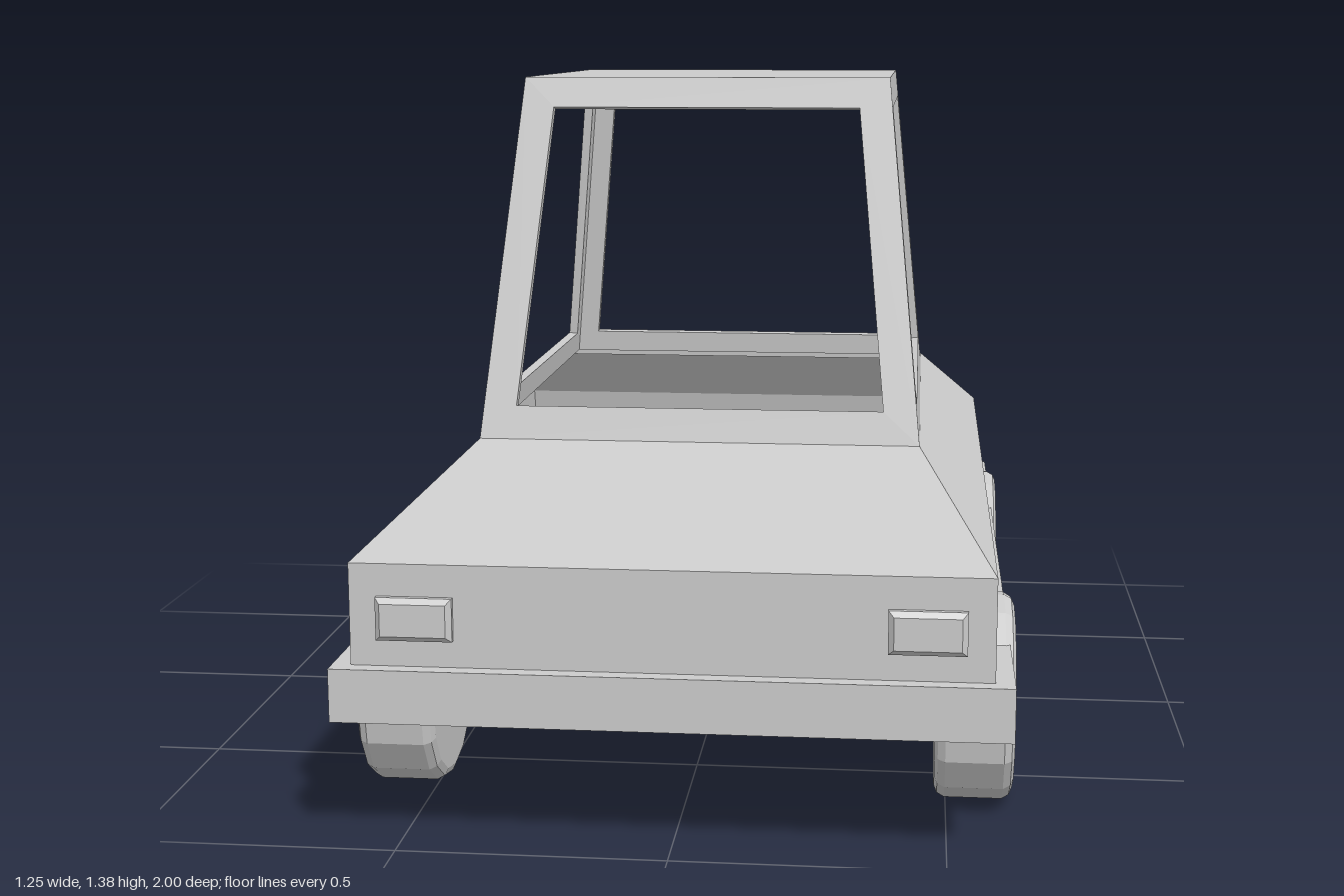
import * as THREE from 'three';

const material = new THREE.MeshStandardMaterial({ color: 0xcccccc, flatShading: true, side: THREE.DoubleSide });

// Rectangular section at height y, corners in counter-clockwise order from above
const ring = (x, front, back, y) =>
  [[x, front], [x, back], [-x, back], [-x, front]].map(([px, pz]) => new THREE.Vector3(px, y, pz));

// Flat-shaded geometry from a list of four-cornered faces
function fromQuads(quads) {
  const points = quads.flatMap(([a, b, c, d]) => [a, b, c, a, c, d]);
  const geometry = new THREE.BufferGeometry().setFromPoints(points);
  geometry.computeVertexNormals();
  return geometry;
}

// Side faces joining a stack of rings
function loft(rings) {
  const quads = [];
  for (let r = 0; r < rings.length - 1; r++) {
    for (let i = 0; i < 4; i++) {
      const j = (i + 1) % 4;
      quads.push([rings[r][i], rings[r][j], rings[r + 1][j], rings[r + 1][i]]);
    }
  }
  return quads;
}

// Wall with a window opening and a little inward thickness
function windowFrame(a, b, c, d, margin, v0, v1, depth) {
  const outer = [a, b, c, d];
  const at = (v, fromEnd) => {
    const p = a.clone().lerp(d, v), q = b.clone().lerp(c, v);
    const t = margin / p.distanceTo(q);
    return p.lerp(q, fromEnd ? 1 - t : t);
  };
  const hole = [at(v0, false), at(v0, true), at(v1, true), at(v1, false)];
  const inward = b.clone().sub(a).cross(d.clone().sub(a)).normalize().multiplyScalar(-depth);
  const innerHole = hole.map((p) => p.clone().add(inward));
  const innerOuter = outer.map((p, i) => p.clone().lerp(hole[i], 0.25).add(inward));
  const quads = [];
  for (let i = 0; i < 4; i++) {
    const j = (i + 1) % 4;
    quads.push([outer[i], outer[j], hole[j], hole[i]]);
    quads.push([hole[i], hole[j], innerHole[j], innerHole[i]]);
    quads.push([innerHole[i], innerHole[j], innerOuter[j], innerOuter[i]]);
  }
  return fromQuads(quads);
}

export function createModel() {
  const model = new THREE.Group();
  const add = (name, geometry, parent = model) => {
    const mesh = new THREE.Mesh(geometry, material);
    mesh.name = name;
    parent.add(mesh);
    return mesh;
  };

  // Chassis tray with floor and a narrow ledge up to the body
  const tray = [ring(0.615, 1, -1, 0.24), ring(0.615, 1, -0.96, 0.34), ring(0.58, 0.97, -0.91, 0.34)];
  add('chassis', fromQuads([...loft(tray), [...tray[0]].reverse()]));

  // Hollow body: upright sides, sloping bonnet, shoulders and boot, flat rear deck
  const shoulder = ring(0.44, 0.48, -0.74, 0.665);
  const cabinBase = ring(0.44, 0.48, -0.64, 0.665);
  add('body', fromQuads([
    ...loft([tray[2], ring(0.58, 0.97, -0.86, 0.53), shoulder]),
    [cabinBase[1], shoulder[1], shoulder[2], cabinBase[2]],
  ]));

  // Cabin: four window frames and the roof
  const cabin = new THREE.Group();
  cabin.name = 'cabin';
  model.add(cabin);
  const roof = ring(0.37, 0.3, -0.555, 1.38);
  ['leftWindowFrame', 'rearWindowFrame', 'rightWindowFrame', 'windscreenFrame'].forEach((name, i) => {
    const j = (i + 1) % 4;
    add(name, windowFrame(cabinBase[i], cabinBase[j], roof[j], roof[i], 0.066, 0.091, 0.916, 0.02), cabin);
  });
  add('roof', fromQuads([roof]), cabin);

  // Headlights: shallow blocks with a bevelled front
  const lamp = [ring(0.07, 0.04, -0.04, 0), ring(0.07, 0.04, -0.04, 0.01), ring(0.06, 0.03, -0.03, 0.02)];
  const lampGeometry = fromQuads([...loft(lamp), lamp[2]]).rotateX(Math.PI / 2);

  // Wheels: low-sided discs with rounded edges, turned onto the x axis
  const profile = [[0, -0.075], [0.178, -0.075], [0.192, -0.069], [0.2, -0.055],
    [0.2, 0.055], [0.192, 0.069], [0.178, 0.075], [0, 0.075]].map(([r, h]) => new THREE.Vector2(r, h));
  const wheelGeometry = new THREE.LatheGeometry(profile, 16).rotateZ(Math.PI / 2);

  for (const [side, s] of [['left', 1], ['right', -1]]) {
    add(side + 'Headlight', lampGeometry).position.set(s * 0.46, 0.43, 0.97);
    add(side + 'FrontWheel', wheelGeometry).position.set(s * 0.552, 0.2, 0.595);
    add(side + 'RearWheel', wheelGeometry).position.set(s * 0.552, 0.2, -0.55);
  }
  return model;
}
